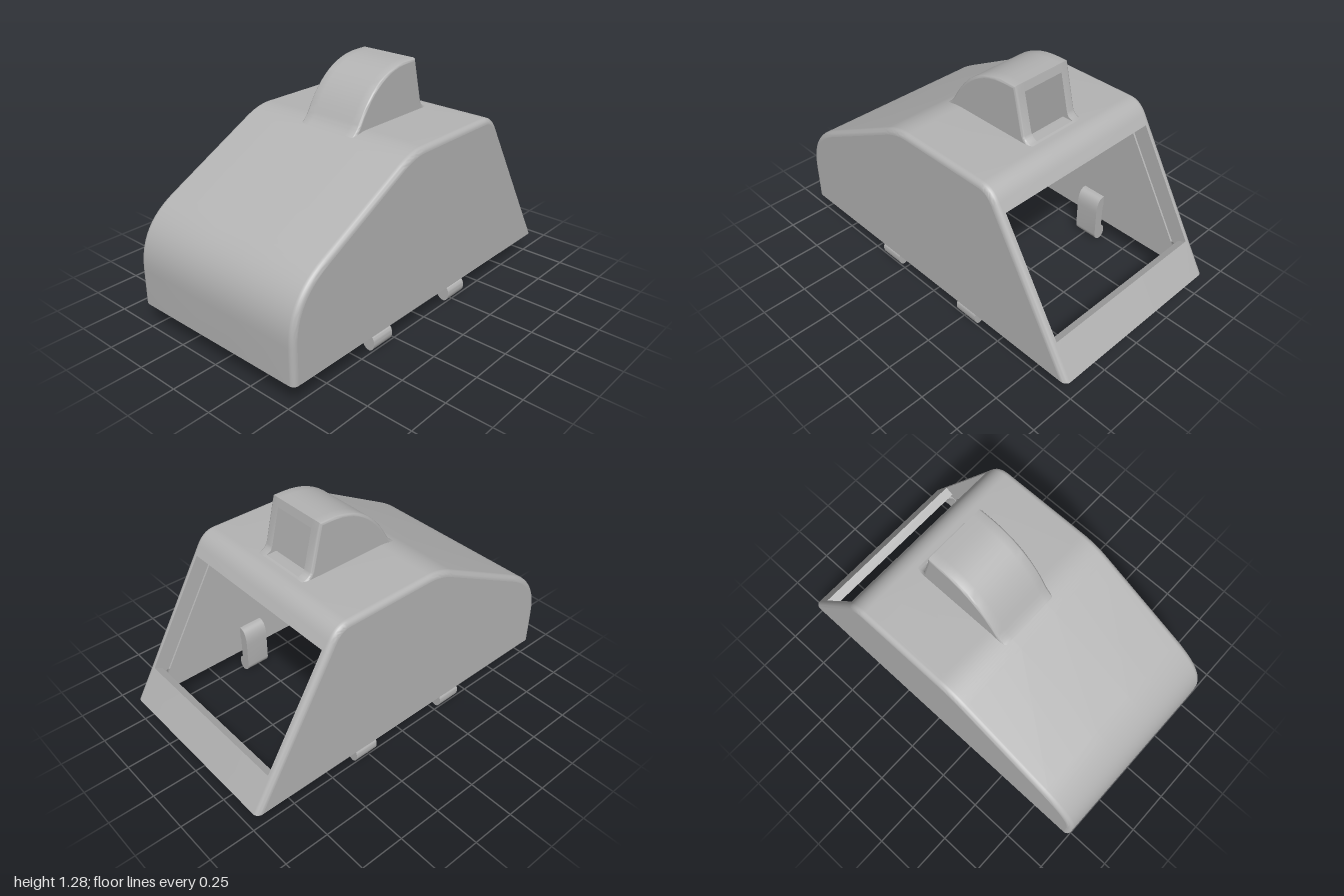
import * as THREE from 'three';
import { toCreasedNormals } from 'three/addons/utils/BufferGeometryUtils.js';

const V = (x, y) => new THREE.Vector2(x, y);

// Move a profile inward by d; with slide, its ends stay on their own level
function inset(pts, d, slide) {
  const dir = pts.slice(1).map((p, i) => p.clone().sub(pts[i]).normalize());
  const out = pts.map((p, i) => {
    const a = dir[Math.max(i - 1, 0)], b = dir[Math.min(i, dir.length - 1)];
    const n = V(a.y + b.y, -a.x - b.x);
    return p.clone().addScaledVector(n, d / (1 + a.dot(b)));
  });
  if (slide) {
    const k = pts.length - 1;
    out[k].addScaledVector(dir[k - 1], (pts[k].y - out[k].y) / dir[k - 1].y);
  }
  return out;
}

// Rows [z, inset] across the width, rounded at both sides
function makeRows(half, r, inner, base = 0) {
  const side = inner.map(z => [z, base]);
  for (let i = 0; i <= 6; i++) {
    const a = i / 6 * Math.PI / 2;
    side.push([half - r + r * Math.sin(a), base + r * (1 - Math.cos(a))]);
  }
  return [...side.map(([z, d]) => [-z, d]).reverse(), ...side];
}

// Skin a profile along its rows, leaving out quads where skip(x, z) holds
function loft(pts, rows, { skip = () => false, flip = false, slide = false } = {}) {
  const pos = [], index = [], n = pts.length;
  for (const [z, d] of rows) for (const p of inset(pts, d, slide)) pos.push(p.x, p.y, z);
  for (let j = 0; j < rows.length - 1; j++) for (let i = 0; i < n - 1; i++) {
    if (skip((pts[i].x + pts[i + 1].x) / 2, (rows[j][0] + rows[j + 1][0]) / 2)) continue;
    const a = j * n + i, b = a + n, c = b + 1, d = a + 1;
    index.push(...(flip ? [a, c, b, a, d, c] : [a, b, c, a, c, d]));
  }
  const g = new THREE.BufferGeometry();
  g.setAttribute('position', new THREE.Float32BufferAttribute(pos, 3));
  g.setIndex(index);
  return toCreasedNormals(g, 0.6);
}

export function createModel() {
  const grey = new THREE.MeshStandardMaterial({ color: 0xb4b4b4, side: THREE.DoubleSide });
  grey.name = 'grey plastic';
  const model = new THREE.Group();
  const add = (name, geo, parent = model) => {
    const m = new THREE.Mesh(geo, grey);
    m.name = name;
    parent.add(m);
    return m;
  };
  // Flat side pair; facing 1 looks outward, -1 looks into the cavity
  const sides = (name, pts, z, facing) => {
    for (const s of [1, -1]) {
      const g = new THREE.ShapeGeometry(new THREE.Shape(pts));
      if (s * facing < 0) {
        const ix = g.index.array;
        for (let i = 0; i < ix.length; i += 3) [ix[i], ix[i + 1]] = [ix[i + 1], ix[i]];
        g.computeVertexNormals();
      }
      add(name, g.translate(0, 0, s * z));
    }
  };

  // Body profile, from the low end over the roof and down the slope
  const base = 0.13, wall = 0.055;
  const path = new THREE.Path();
  path.moveTo(-1, base);
  path.lineTo(-1, 0.33);
  path.bezierCurveTo(-1, 0.5, -0.92, 0.606, -0.78, 0.68);
  path.lineTo(-0.26, 0.955);
  path.quadraticCurveTo(-0.175, 1, -0.09, 1);
  path.lineTo(0.32, 1);
  path.lineTo(0.42, 1);
  path.quadraticCurveTo(0.489, 1, 0.53, 0.93);
  path.lineTo(0.556, 0.885);
  path.lineTo(0.894, 0.31);
  path.lineTo(1, base);
  const body = path.getPoints(12);
  const roofHole = (x, z) => x > -0.05 && x < 0.3 && Math.abs(z) < 0.125;
  const windowHole = x => x > 0.6 && x < 0.9;

  // Outer and inner skins with their side walls
  const outerRows = makeRows(0.54, 0.03, [0.125, 0.5]);
  const innerRows = makeRows(0.49, 0.04, [0.125], wall);
  add('bodyOuterSkin', loft(body, outerRows, {
    slide: true, skip: (x, z) => roofHole(x, z) || (windowHole(x) && Math.abs(z) < 0.5),
  }));
  add('bodyInnerSkin', loft(body, innerRows, {
    slide: true, flip: true, skip: (x, z) => roofHole(x, z) || windowHole(x),
  }));
  sides('bodyOuterSide', inset(body, 0.03, true), 0.54, 1);
  sides('bodyInnerSide', inset(body, wall + 0.04, true), 0.49, -1);

  // Bottom rim between the two skins
  const outline = rows => {
    const ends = rows.map(([z, d]) => [inset(body, d, true), z]);
    return [...ends.map(([p, z]) => V(p[0].x, z)),
      ...ends.reverse().map(([p, z]) => V(p[p.length - 1].x, z))];
  };
  const rim = new THREE.Shape(outline(outerRows));
  rim.holes.push(new THREE.Path(outline(innerRows)));
  add('bottomRim', new THREE.ShapeGeometry(rim).rotateX(Math.PI / 2).translate(0, base, 0));

  // Window edges and the shallow recess in both side walls
  const top = V(0.556, 0.885), low = V(0.894, 0.31), inward = V(-0.862, -0.507);
  const deep = (p, d) => p.clone().addScaledVector(inward, d);
  const span = [[-0.5, 0], [0.5, 0]];
  add('windowTopEdge', loft([top, deep(top, wall)], span, { flip: true }));
  add('windowBottomEdge', loft([deep(low, wall), low], span));
  const depth = 0.095;
  sides('windowRecess', [top, low, deep(low, depth), deep(top, depth)], 0.5, -1);
  for (const s of [1, -1]) {
    add('recessLedge', loft([deep(top, depth), deep(low, depth)], [[s * 0.49, 0], [s * 0.5, 0]],
      { flip: s < 0 }));
  }

  // Hood on the roof
  const hp = new THREE.Path();
  hp.moveTo(-0.23, 0.965);
  hp.quadraticCurveTo(-0.18, 0.985, -0.15, 1.035);
  hp.bezierCurveTo(-0.06, 1.2, 0.06, 1.285, 0.23, 1.285);
  hp.lineTo(0.285, 1.285);
  hp.lineTo(0.296, 1.24);
  hp.lineTo(0.343, 1.04);
  hp.quadraticCurveTo(0.355, 1.003, 0.405, 0.999);
  const hood = hp.getPoints(12);
  add('hoodOuterSkin', loft(hood, makeRows(0.18, 0.015, [0.125]), {
    skip: (x, z) => x > 0.293 && x < 0.385 && Math.abs(z) < 0.125,
  }));
  sides('hoodOuterSide', inset(hood, 0.015), 0.18, 1);

  // Hood cavity, open to the slope side and down into the body
  const cp = new THREE.Path();
  cp.moveTo(-0.09, 1 - wall);
  cp.lineTo(-0.09, 1.03);
  cp.bezierCurveTo(-0.03, 1.13, 0.06, 1.21, 0.25, 1.225);
  cp.lineTo(0.296, 1.24);
  const cavity = cp.getPoints(12);
  const bore = [[-0.125, 0], [0.125, 0]];
  add('hoodInnerSkin', loft(cavity, bore, { flip: true }));
  add('roofHoleEdge', loft([V(0.32, 1), V(0.32, 1 - wall)], bore, { flip: true }));
  sides('hoodInnerSide', [...cavity, V(0.343, 1.04), V(0.355, 1.012), V(0.385, 1),
    V(0.32, 1), V(0.32, 1 - wall)], 0.125, -1);

  // Four snap clips on the long walls
  const clip = new THREE.Shape();
  clip.moveTo(0.5, 0.3);
  clip.lineTo(0.475, 0.3);
  clip.quadraticCurveTo(0.432, 0.29, 0.432, 0.2);
  clip.lineTo(0.432, 0.05);
  clip.bezierCurveTo(0.432, 0.025, 0.455, 0, 0.48, 0);
  clip.bezierCurveTo(0.498, 0.004, 0.512, 0.025, 0.51, 0.05);
  clip.bezierCurveTo(0.51, 0.07, 0.5, 0.085, 0.485, 0.09);
  clip.lineTo(0.485, 0.22);
  clip.lineTo(0.5, 0.25);
  const clipGeo = toCreasedNormals(new THREE.ExtrudeGeometry(clip,
    { depth: 0.14, bevelEnabled: false, curveSegments: 8 })
    .translate(0, 0, -0.07).rotateY(-Math.PI / 2), 0.6);
  for (const x of [-0.35, 0.272]) for (const s of [1, -1]) {
    const m = add('clip', clipGeo);
    m.position.x = x;
    if (s < 0) m.rotation.y = Math.PI;
  }
  return model;
}
